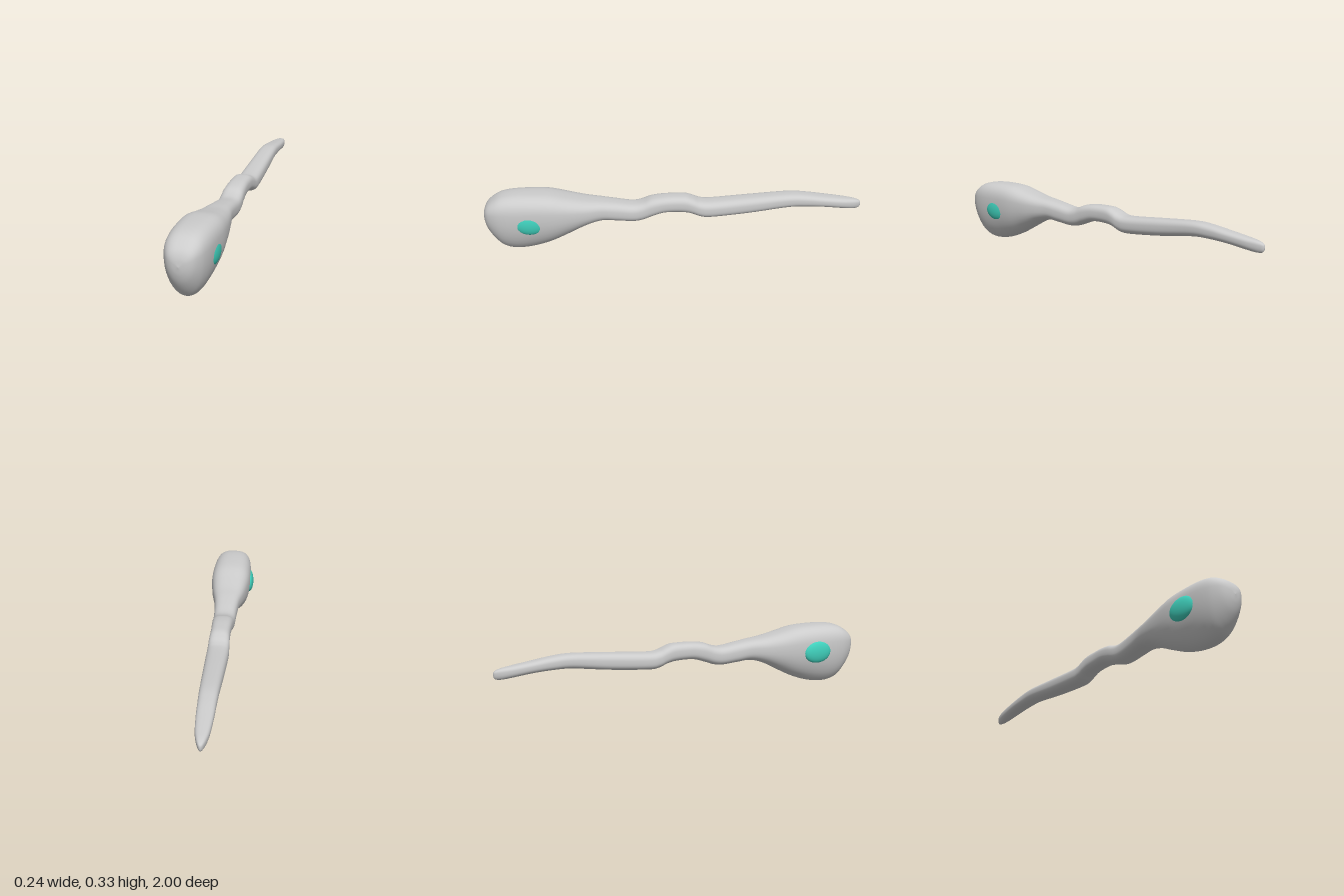
import * as THREE from 'three';

// Body stations from nose to tail tip: z, top y, bottom y, half width, lower-side squareness
const STATIONS = [
  [1.0, 0.2, 0.2, 0, 2], [0.993, 0.24, 0.155, 0.038, 2], [0.975, 0.273, 0.108, 0.066, 2],
  [0.94, 0.301, 0.055, 0.087, 2], [0.9, 0.32, 0.018, 0.099, 2], [0.84, 0.33, 0.002, 0.107, 2],
  [0.75, 0.332, 0.01, 0.111, 2], [0.65, 0.326, 0.042, 0.111, 2.1], [0.55, 0.303, 0.092, 0.1, 2.2],
  [0.46, 0.284, 0.14, 0.085, 2.4], [0.38, 0.274, 0.163, 0.07, 2.5], [0.3, 0.262, 0.158, 0.063, 2.6],
  [0.22, 0.25, 0.151, 0.06, 2.6], [0.17, 0.257, 0.157, 0.059, 2.6], [0.12, 0.276, 0.175, 0.057, 2.6],
  [0.06, 0.285, 0.194, 0.054, 2.6], [0, 0.287, 0.197, 0.052, 2.6], [-0.06, 0.285, 0.193, 0.053, 2.6],
  [-0.1, 0.272, 0.183, 0.055, 2.6], [-0.14, 0.256, 0.167, 0.056, 2.6], [-0.2, 0.252, 0.162, 0.057, 2.6],
  [-0.4, 0.267, 0.179, 0.053, 2.6], [-0.6, 0.28, 0.204, 0.048, 2.5], [-0.7, 0.274, 0.205, 0.045, 2.5],
  [-0.8, 0.259, 0.198, 0.042, 2.4], [-0.9, 0.244, 0.184, 0.035, 2.3], [-0.955, 0.235, 0.177, 0.025, 2.2],
  [-0.985, 0.226, 0.179, 0.015, 2], [-0.997, 0.217, 0.189, 0.007, 2], [-1.0, 0.204, 0.204, 0, 2],
];
const CENTER_X = 0.005;

// Loft of rings, squarer above and rounder below
function bodyGeometry(rings, sides) {
  const smooth = (pick) => new THREE.CatmullRomCurve3(
    STATIONS.map((s) => new THREE.Vector3(...pick(s))), false, 'catmullrom', 0.5);
  const profile = smooth((s) => [s[0], s[1], s[2]]);
  const breadth = smooth((s) => [s[0], s[3], s[4]]);
  const power = (v, n) => Math.sign(v) * Math.pow(Math.abs(v), 2 / n);
  const positions = [], index = [];
  for (let i = 0; i <= rings; i++) {
    const p = profile.getPoint(i / rings), b = breadth.getPoint(i / rings);
    const mid = THREE.MathUtils.lerp(p.z, p.y, 0.5 + 0.25 * (2.6 - b.z));
    for (let j = 0; j < sides; j++) {
      const a = (j / sides) * Math.PI * 2;
      const c = Math.cos(a), s = Math.sin(a);
      const n = s > 0 ? 2.8 : b.z;
      const h = s > 0 ? p.y - mid : mid - p.z;
      positions.push(CENTER_X + Math.max(b.y, 0) * power(c, n), mid + h * power(s, n), p.x);
      if (i < rings) {
        const k = (j + 1) % sides, r = i * sides, q = r + sides;
        index.push(r + j, q + j, r + k, r + k, q + j, q + k);
      }
    }
  }
  const g = new THREE.BufferGeometry();
  g.setAttribute('position', new THREE.Float32BufferAttribute(positions, 3));
  g.setIndex(index);
  // Make the winding face outward
  g.computeVertexNormals();
  const top = Math.floor(rings / 2) * sides + sides / 4;
  if (g.attributes.normal.getY(top) < 0) {
    g.setIndex(index.reverse());
    g.computeVertexNormals();
  }
  return g;
}

export function createModel() {
  const group = new THREE.Group();
  const grey = new THREE.MeshStandardMaterial({ color: 0xcccccc });
  const teal = new THREE.MeshStandardMaterial({ color: 0x40d0bc });

  const body = new THREE.Mesh(bodyGeometry(174, 40), grey);
  body.name = 'body';
  group.add(body);

  // Flattened oval eyes set into the sides of the head
  const eyeGeometry = new THREE.SphereGeometry(1, 32, 20);
  const addEye = (name, x, y, z, turn) => {
    const eye = new THREE.Mesh(eyeGeometry, teal);
    eye.name = name;
    eye.scale.set(0.025, 0.061, 0.081);
    eye.position.set(x, y, z);
    eye.rotation.y = turn;
    group.add(eye);
  };
  addEye('rightEye', -0.098, 0.196, 0.752, 0.06);
  addEye('leftEye', 0.096, 0.186, 0.752, 0.03);
  return group;
}
